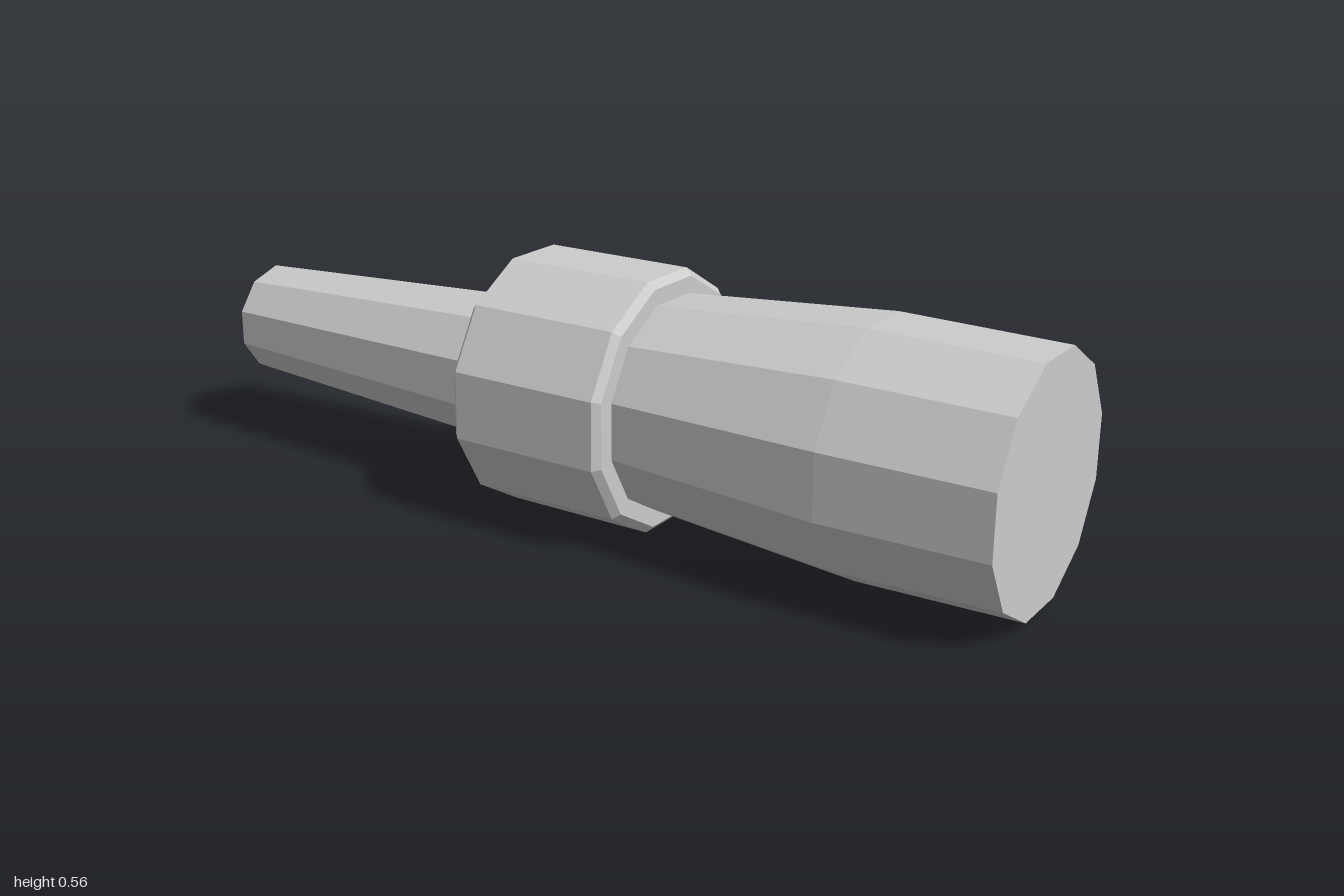
import * as THREE from 'three';

const AXIS_Y = 0.278;

// Faceted solid of revolution along x; profile is [x, circumradius], closed at both ends.
function turned(name, profile, sides, phase, material) {
  const rings = [[profile[0][0], 0], ...profile, [profile.at(-1)[0], 0]];
  const points = rings.map(([x, r]) => new THREE.Vector2(r, x));
  const lathe = new THREE.LatheGeometry(points, sides, phase);
  lathe.rotateZ(-Math.PI / 2);
  const geometry = lathe.toNonIndexed();
  geometry.computeVertexNormals(); // flat facets
  const mesh = new THREE.Mesh(geometry, material);
  mesh.name = name;
  mesh.position.y = AXIS_Y;
  return mesh;
}

export function createModel() {
  const group = new THREE.Group();
  group.name = 'handTool';
  const grey = new THREE.MeshStandardMaterial({ color: 0xcccccc });
  grey.name = 'lightGrey';

  // Twelve-sided parts have a flat on top, so convert flat height to corner radius.
  const corner = 1 / Math.cos(Math.PI / 12);
  const flats = (profile) => profile.map(([x, a]) => [x, a * corner]);

  // Tapered ten-sided shaft, with an edge on top
  group.add(turned('shaft', [[-1, 0.129], [-0.2, 0.173]], 10, Math.PI / 10, grey));

  // Chamfered collar
  group.add(turned('collar',
    flats([[-0.222, 0.263], [-0.207, 0.278], [0.142, 0.278], [0.157, 0.263]]), 12, Math.PI / 12, grey));

  // Flared handle
  group.add(turned('handle',
    flats([[0.14, 0.226], [0.64, 0.264], [1, 0.258]]), 12, Math.PI / 12, grey));

  return group;
}
